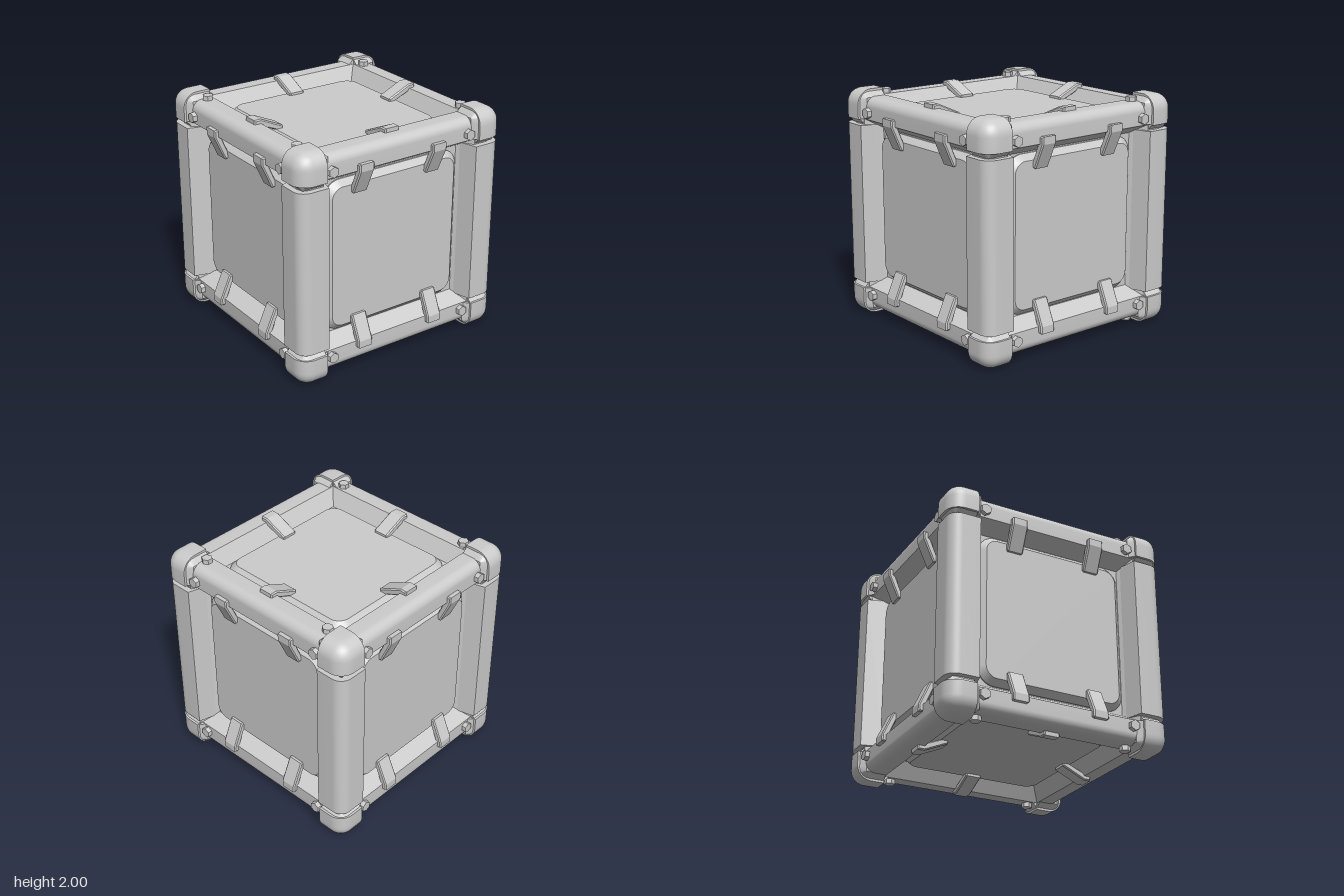
import * as THREE from 'three';
import { RoundedBoxGeometry } from 'three/addons/geometries/RoundedBoxGeometry.js';
import { toCreasedNormals } from 'three/addons/utils/BufferGeometryUtils.js';

const grey = new THREE.MeshStandardMaterial({ color: 0xcccccc });
const Q = Math.PI / 2;

function add(parent, geometry, name, x = 0, y = 0, z = 0) {
  const mesh = new THREE.Mesh(geometry, grey);
  mesh.name = name;
  mesh.position.set(x, y, z);
  parent.add(mesh);
  return mesh;
}

// Extrusion centred on z = 0 with crisp edges and smooth roundings
function extrude(shape, depth, options = {}) {
  const g = new THREE.ExtrudeGeometry(shape, { depth, bevelEnabled: false, curveSegments: 6, ...options });
  g.translate(0, 0, -depth / 2);
  return toCreasedNormals(g, 0.5);
}

// Cross-section of an edge bar: rounded outer corner, sloping inner sides
function edgeSection(outer, inner, round, root, rootDepth) {
  const s = new THREE.Shape();
  s.moveTo(outer, inner);
  s.lineTo(outer, outer - round);
  s.absarc(outer - round, outer - round, round, 0, Q, false);
  s.lineTo(inner, outer);
  s.lineTo(root, rootDepth);
  s.lineTo(rootDepth, root);
  s.closePath();
  return s;
}

function roundedSquare(h, r) {
  const s = new THREE.Shape();
  s.absarc(h - r, h - r, r, 0, Q, false);
  s.absarc(r - h, h - r, r, Q, 2 * Q, false);
  s.absarc(r - h, r - h, r, 2 * Q, 3 * Q, false);
  s.absarc(h - r, r - h, r, 3 * Q, 4 * Q, false);
  s.closePath();
  return s;
}

// Corner cap: rounded on its three outer edges, cut flat on the inner sides
function capGeometry() {
  const g = new RoundedBoxGeometry(0.4, 0.4, 0.4, 5, 0.13);
  g.translate(0.8, 0.8, 0.8);
  const p = g.attributes.position;
  for (let i = 0; i < p.count; i++) {
    p.setXYZ(i, Math.max(0.75, p.getX(i)), Math.max(0.75, p.getY(i)), Math.max(0.75, p.getZ(i)));
  }
  return toCreasedNormals(g, 0.6);
}

// Collar that narrows from a cap down to the bar
function collarGeometry() {
  const s = edgeSection(0.985, 0.755, 0.1, 0.755, 0.76);
  const g = new THREE.ExtrudeGeometry(s, { depth: 0.05, bevelEnabled: false, curveSegments: 6 });
  const p = g.attributes.position;
  for (let i = 0; i < p.count; i++) {
    if (p.getZ(i) < 0.01) {
      p.setX(i, Math.min(0.935, p.getX(i)));
      p.setY(i, Math.min(0.935, p.getY(i)));
    }
  }
  g.translate(0, 0, 0.705);
  return toCreasedNormals(g, 0.5);
}

// Bent strap that runs from a bar down to the panel
function clipGeometry() {
  const s = new THREE.Shape([
    [0.8, 0.92], [0.8, 0.965], [0.75, 0.965], [0.55, 0.875], [0.55, 0.84], [0.74, 0.92],
  ].map(([a, b]) => new THREE.Vector2(a, b)));
  const g = new THREE.ExtrudeGeometry(s, {
    depth: 0.12, bevelThickness: 0.01, bevelSize: 0.01, bevelSegments: 1,
  });
  g.translate(0, 0, -0.06);
  g.rotateX(Q); // profile height becomes the outward direction
  return toCreasedNormals(g, 0.4);
}

export function createModel() {
  const model = new THREE.Group();
  model.name = 'crate';
  const body = new THREE.Group();
  body.name = 'crateBody';
  body.position.y = 1;
  model.add(body);

  add(body, new THREE.BoxGeometry(1.6, 1.6, 1.6), 'core');

  // Twelve edge bars with collars at both ends
  const bar = extrude(edgeSection(0.94, 0.75, 0.08, 0.67, 0.8), 1.54);
  const sleeve = extrude(edgeSection(0.99, 0.73, 0.1, 0.68, 0.8), 1.4);
  const collar = collarGeometry();
  const axes = [['depth', 0, 0], ['width', 0, Q], ['upright', -Q, 0]];
  for (const [axis, rx, ry] of axes) {
    const set = new THREE.Group();
    set.name = axis + 'Bars';
    set.rotation.set(rx, ry, 0);
    body.add(set);
    for (let k = 0; k < 4; k++) {
      const edge = new THREE.Group();
      edge.name = axis + 'Bar';
      edge.rotation.z = k * Q;
      set.add(edge);
      add(edge, bar, 'bar');
      if (axis === 'upright') add(edge, sleeve, 'pillarSleeve');
      add(edge, collar, 'collar');
      // half turn about the diagonal gives the opposite end
      const far = add(edge, collar, 'collar');
      far.quaternion.setFromAxisAngle(new THREE.Vector3(1, 1, 0).normalize(), Math.PI);
    }
  }

  // Eight corner caps
  const cap = capGeometry();
  for (let k = 0; k < 4; k++) {
    add(body, cap, 'topCap').rotation.y = k * Q;
    add(body, cap, 'bottomCap').rotation.set(Math.PI, k * Q, 0, 'YXZ');
  }

  // Six faces: raised panel, bolts and clips
  const panel = extrude(roundedSquare(0.61, 0.1), 0.02, {
    bevelEnabled: true, bevelThickness: 0.05, bevelSize: 0.05, bevelSegments: 1,
  });
  const bolt = toCreasedNormals(new THREE.CylinderGeometry(0.046, 0.046, 0.08, 6).rotateX(Q), 0.3);
  const clip = clipGeometry();
  const faces = [
    ['front', 0, 0], ['left', 0, Q], ['back', 0, 2 * Q], ['right', 0, -Q],
    ['top', -Q, 0], ['bottom', Q, 0],
  ];
  for (const [name, rx, ry] of faces) {
    const face = new THREE.Group();
    face.name = name + 'Face';
    face.rotation.set(rx, ry, 0);
    body.add(face);
    add(face, panel, 'panel', 0, 0, 0.8);
    for (const x of [-0.675, 0.675]) {
      for (const y of [-0.81, 0.81]) add(face, bolt, 'bolt', x, y, 0.94);
    }
    if (rx) {
      // one clip in the middle of each side
      for (let k = 0; k < 4; k++) add(face, clip, 'clip').rotation.z = k * Q;
    } else {
      // two clips above and two below
      for (const x of [-0.36, 0.36]) {
        for (const turn of [Q, -Q]) add(face, clip, 'clip', x).rotation.z = turn;
      }
    }
  }
  return model;
}
